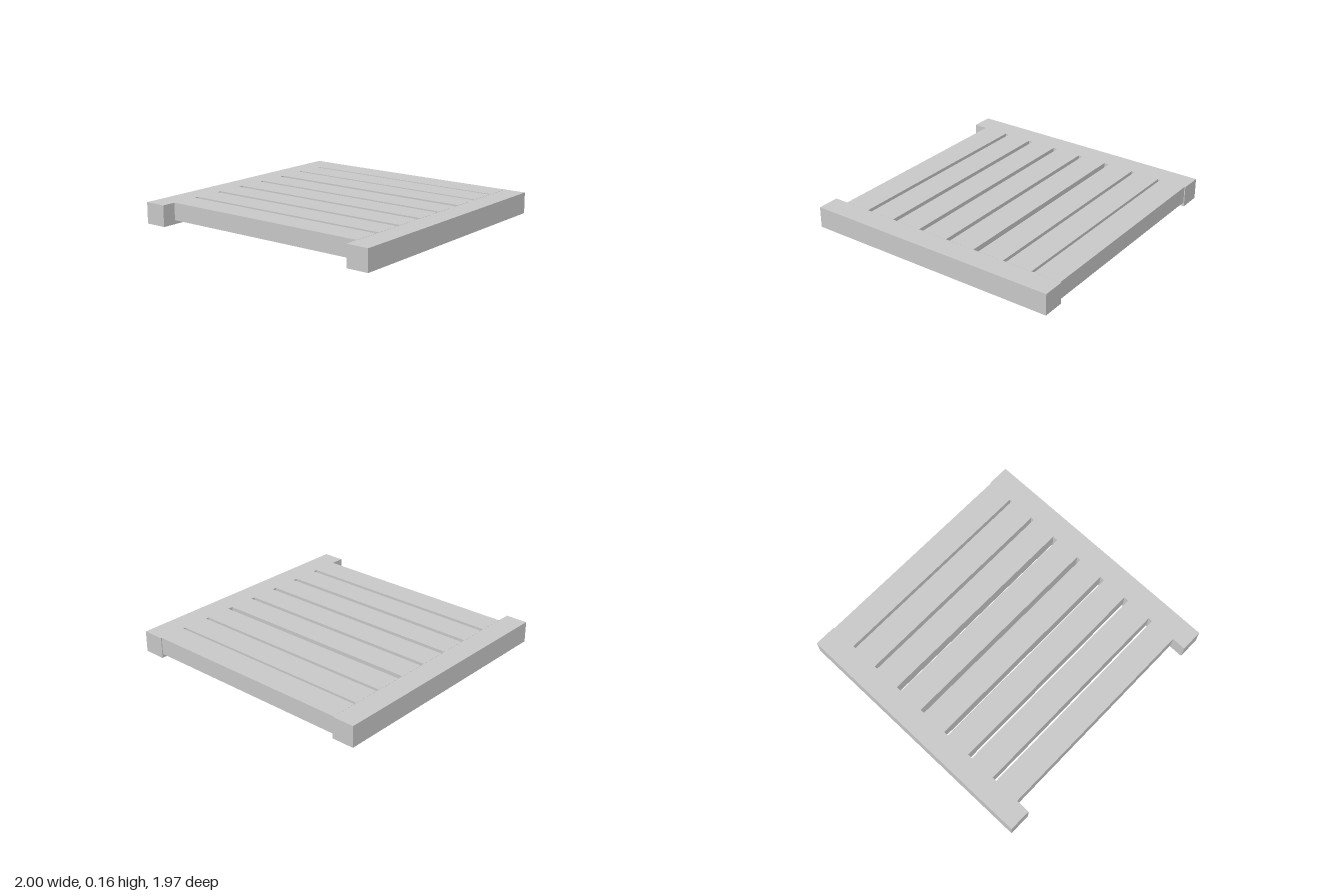
import * as THREE from 'three';

const RAIL = { width: 0.17, height: 0.16, length: 1.974 };
const SLAT = { length: 1.662, bottom: 0.03, top: 0.161, depth: 0.204 };
// Slightly uneven spacing from back to front
const SLAT_Z = [-0.878, -0.653, -0.423, -0.177, 0.06, 0.3, 0.54, 0.777];

export function createModel() {
  const model = new THREE.Group();
  model.name = 'slattedPanel';
  const material = new THREE.MeshStandardMaterial({ color: 0xcccccc, flatShading: true });

  const addBox = (name, w, h, d, x, y, z) => {
    const mesh = new THREE.Mesh(new THREE.BoxGeometry(w, h, d), material);
    mesh.name = name;
    mesh.position.set(x, y, z);
    model.add(mesh);
  };

  // Side rails resting on the ground
  for (const [name, side] of [['leftRail', 1], ['rightRail', -1]]) {
    addBox(name, RAIL.width, RAIL.height, RAIL.length, side * (1 - RAIL.width / 2), RAIL.height / 2, 0);
  }

  // Cross slats, raised off the ground between the rails
  SLAT_Z.forEach((z, i) => {
    addBox(`slat${i + 1}`, SLAT.length, SLAT.top - SLAT.bottom, SLAT.depth, 0, (SLAT.top + SLAT.bottom) / 2, z);
  });

  return model;
}
